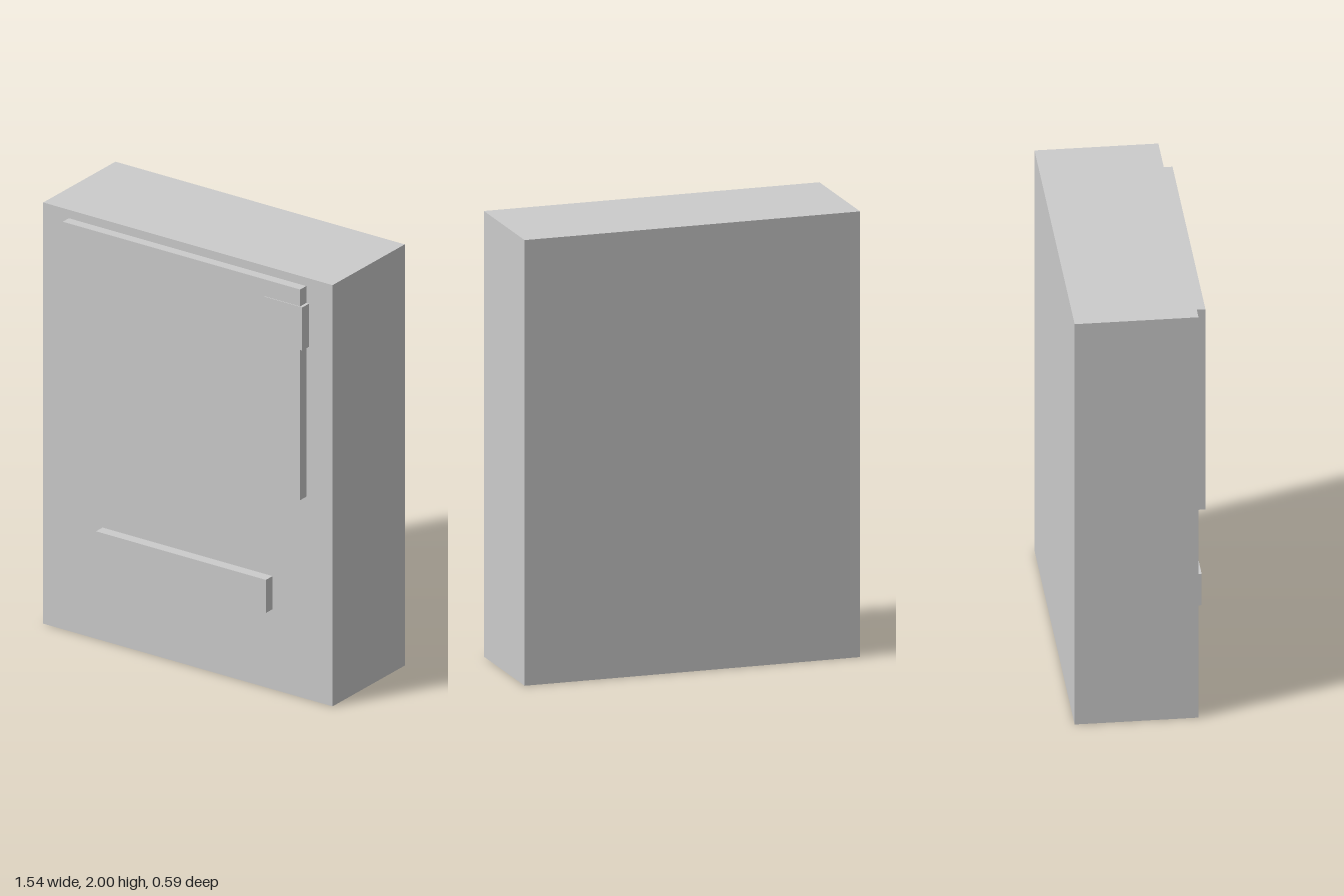
import * as THREE from 'three';

const material = new THREE.MeshStandardMaterial({ color: 0xcccccc, flatShading: true });

// Box given by its extents on each axis
function block(name, [x0, x1], [y0, y1], [z0, z1]) {
  const mesh = new THREE.Mesh(new THREE.BoxGeometry(x1 - x0, y1 - y0, z1 - z0), material);
  mesh.position.set((x0 + x1) / 2, (y0 + y1) / 2, (z0 + z1) / 2);
  mesh.name = name;
  return mesh;
}

export function createModel() {
  const group = new THREE.Group();
  group.name = 'vendingMachine';
  const back = -0.296, face = 0.246; // cabinet depth
  const inset = face - 0.01; // fittings sink slightly into the cabinet

  group.add(
    block('cabinet', [-0.772, 0.772], [0, 2], [back, face]),
    // Large display window on the upper front
    block('displayPanel', [-0.635, 0.632], [0.96, 1.96], [inset, 0.292]),
    // Payment pad at the window's upper corner, just proud of it
    block('paymentPad', [0.44, 0.646], [1.675, 1.88], [inset, 0.296]),
    // Collection tray on the lower front
    block('collectionTray', [-0.455, 0.452], [0.38, 0.537], [inset, 0.296]),
  );
  return group;
}
